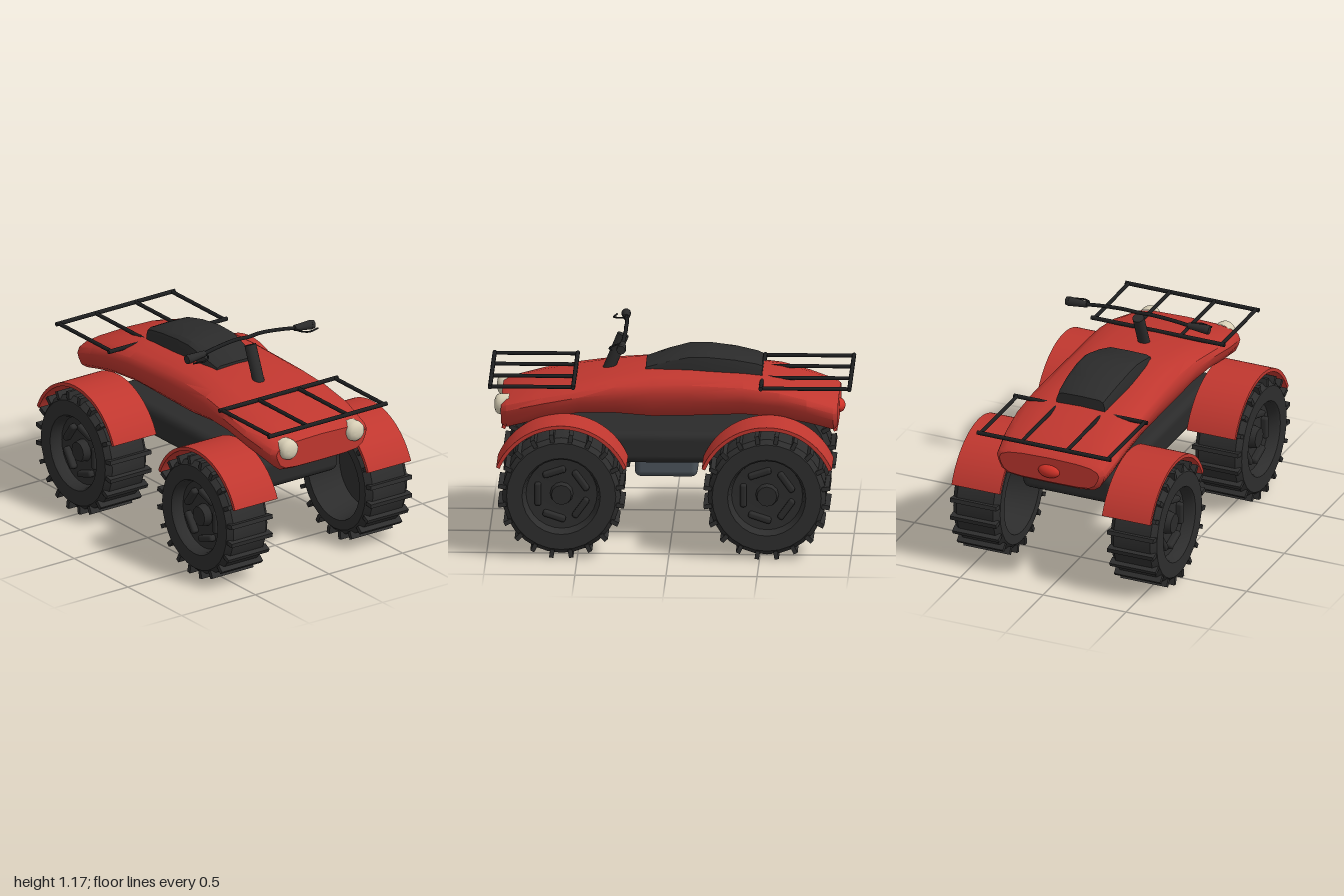
import * as THREE from 'three';
import { toCreasedNormals } from 'three/addons/utils/BufferGeometryUtils.js';
import { RoundedBoxGeometry } from 'three/addons/geometries/RoundedBoxGeometry.js';

const paint = (name, color, side = THREE.FrontSide) => {
  const m = new THREE.MeshStandardMaterial({ color, side });
  m.name = name;
  return m;
};

const mats = {
  red: paint('red bodywork', 0xc0372f),
  black: paint('black plastic', 0x2b2b2b),
  rubber: paint('tyre rubber', 0x2d2d2d, THREE.DoubleSide),
  rack: paint('rack metal', 0x1d1e1f),
  engine: paint('engine grey', 0x4b535a),
  cream: paint('headlight cream', 0xd8cfb6),
  tail: paint('tail light red', 0xd03228),
};

const add = (parent, name, geo, mat, x = 0, y = 0, z = 0) => {
  const m = new THREE.Mesh(geo, mat);
  m.name = name;
  m.position.set(x, y, z);
  parent.add(m);
  return m;
};

// Lofts a half profile (bottom centre to top centre) through stations [z, halfWidth, bottom, top], z rising
function loft(half, stations, crease) {
  const ring = [...half, ...half.slice(1, -1).reverse().map(([u, v]) => [-u, v])];
  const n = ring.length, pos = [], idx = [];
  for (const [z, w, b, t] of stations) for (const [u, v] of ring) pos.push(u * w, b + v * (t - b), z);
  for (let i = 0; i < stations.length - 1; i++) {
    for (let j = 0; j < n; j++) {
      const a = i * n + j, b = i * n + (j + 1) % n;
      idx.push(a, b, a + n, b, b + n, a + n);
    }
  }
  const last = (stations.length - 1) * n;
  for (let j = 1; j < n - 1; j++) idx.push(0, j + 1, j, last, last + j, last + j + 1);
  const g = new THREE.BufferGeometry();
  g.setAttribute('position', new THREE.Float32BufferAttribute(pos, 3));
  g.setIndex(idx);
  return toCreasedNormals(g, crease);
}

// Cylinder between two points
function rod(parent, name, a, b, r0, r1, mat, sides = 10) {
  const p = new THREE.Vector3(...a), q = new THREE.Vector3(...b), d = q.clone().sub(p);
  const m = add(parent, name, new THREE.CylinderGeometry(r1, r0, d.length(), sides), mat);
  m.position.copy(p).add(q).multiplyScalar(0.5);
  m.quaternion.setFromUnitVectors(new THREE.Vector3(0, 1, 0), d.normalize());
  return m;
}

const tube = (pts, r) =>
  new THREE.TubeGeometry(new THREE.CatmullRomCurve3(pts.map(p => new THREE.Vector3(...p))), 20, r, 8);

const lathe = (pts, seg, crease = 0.6) =>
  toCreasedNormals(new THREE.LatheGeometry(pts.map(p => new THREE.Vector2(...p)), seg), crease);

// Wheel with its outer face towards +y, laid over by the caller
function makeWheel() {
  const wheel = new THREE.Group();
  add(wheel, 'tyre', lathe([
    [0, 0.045], [0.2, 0.045], [0.24, -0.14], [0.295, -0.14], [0.325, -0.11], [0.325, 0.11],
    [0.3, 0.14], [0.215, 0.14], [0.205, 0.125], [0.195, 0.075], [0, 0.06],
  ], 28), mats.rubber);
  const lug = new THREE.BoxGeometry(0.045, 0.278, 0.024);
  for (let i = 0; i < 20; i++) {
    const a = (i + 0.5) * Math.PI / 10;
    const m = add(wheel, 'treadLug', lug, mats.rubber, Math.cos(a) * 0.328, 0, Math.sin(a) * 0.328);
    m.rotation.y = -a;
  }
  const bar = new RoundedBoxGeometry(0.036, 0.05, 0.13, 2, 0.014);
  for (let i = 0; i < 5; i++) {
    const a = Math.PI / 2 + i * Math.PI * 0.4;
    const m = add(wheel, 'rimBar', bar, mats.black, Math.cos(a) * 0.13, 0.08, Math.sin(a) * 0.13);
    m.rotation.y = -a;
  }
  add(wheel, 'hub', new THREE.CylinderGeometry(0.055, 0.065, 0.05, 12), mats.black, 0, 0.085, 0);
  return wheel;
}

// Arched mudguard strip
function fenderGeometry() {
  const s = new THREE.Shape();
  const a0 = 0.4, a1 = Math.PI - 0.4;
  s.absarc(0, 0, 0.388, a0, a1, false);
  s.absarc(0, 0, 0.368, a1, a0, true);
  const g = new THREE.ExtrudeGeometry(s, { depth: 0.29, bevelEnabled: false, curveSegments: 24 });
  g.rotateY(Math.PI / 2);
  return toCreasedNormals(g, 0.5);
}

export function createModel() {
  const model = new THREE.Group();
  model.name = 'quadBike';

  // Main body shell
  add(model, 'body', loft(
    [[0, 0], [0.55, 0.01], [0.8, 0.06], [0.91, 0.2], [0.97, 0.42], [1, 0.62], [0.96, 0.78], [0.82, 0.9], [0.55, 0.97], [0, 1]],
    [[-0.92, 0.3, 0.665, 0.81], [-0.895, 0.325, 0.645, 0.828], [-0.75, 0.345, 0.685, 0.878], [-0.6, 0.35, 0.715, 0.92],
      [-0.4, 0.345, 0.73, 0.947], [-0.1, 0.335, 0.715, 0.968], [0.1, 0.332, 0.71, 0.967], [0.3, 0.34, 0.73, 0.948],
      [0.5, 0.355, 0.735, 0.915], [0.7, 0.357, 0.7, 0.878], [0.9, 0.328, 0.645, 0.832], [0.93, 0.305, 0.662, 0.815]],
    0.7), mats.red);

  // Seat cushion
  add(model, 'seat', loft(
    [[0, 0], [1, 0], [1, 0.55], [0.93, 0.85], [0.78, 0.97], [0, 1]],
    [[-0.5, 0.145, 0.9, 0.995], [-0.47, 0.15, 0.9, 1.008], [-0.35, 0.16, 0.9, 1.035], [-0.2, 0.166, 0.9, 1.053],
      [-0.1, 0.164, 0.9, 1.052], [0.02, 0.154, 0.9, 1.02], [0.14, 0.14, 0.9, 0.978]],
    0.6), mats.black);

  // Chassis and engine
  add(model, 'chassis', new RoundedBoxGeometry(0.56, 0.175, 1.4, 2, 0.045), mats.black, 0, 0.543, 0.02);
  add(model, 'engine', new RoundedBoxGeometry(0.27, 0.14, 0.345, 2, 0.035), mats.engine, 0, 0.414, 0.028);

  // Wheels and fenders
  for (const [end, z] of [['front', 0.588], ['rear', -0.54]]) {
    for (const s of [1, -1]) {
      const wheel = makeWheel();
      wheel.name = end + 'Wheel' + (s > 0 ? 'Left' : 'Right');
      wheel.position.set(s * 0.473, 0.352, z);
      wheel.rotation.z = -s * Math.PI / 2;
      model.add(wheel);
      add(model, end + 'Fender', fenderGeometry(), mats.red, s > 0 ? 0.308 : -0.598, 0.358, z);
    }
  }

  // Luggage racks: two cross bars and four rails at each end
  for (const [name, outer, inner] of [['frontRack', 0.986, 0.53], ['rearRack', -0.986, -0.5]]) {
    const rack = new THREE.Group();
    rack.name = name;
    model.add(rack);
    for (const z of [outer, inner]) rod(rack, 'crossBar', [-0.402, 0.914, z], [0.402, 0.914, z], 0.012, 0.012, mats.rack);
    for (const x of [-0.383, -0.135, 0.135, 0.383]) rod(rack, 'rail', [x, 0.914, outer], [x, 0.914, inner], 0.011, 0.011, mats.rack);
  }

  // Steering: column, curved bar, flared grips and brake levers
  const steering = new THREE.Group();
  steering.name = 'steering';
  model.add(steering);
  rod(steering, 'column', [0, 0.92, 0.35], [0, 1.12, 0.268], 0.033, 0.033, mats.black, 16);
  add(steering, 'handlebar', tube([[-0.33, 1.137, 0.262], [-0.2, 1.155, 0.255], [-0.08, 1.164, 0.25], [0, 1.16, 0.252],
    [0.08, 1.164, 0.25], [0.2, 1.155, 0.255], [0.33, 1.137, 0.262]], 0.011), mats.rack);
  for (const s of [1, -1]) {
    rod(steering, 'grip', [s * 0.305, 1.14, 0.261], [s * 0.41, 1.136, 0.265], 0.017, 0.026, mats.black, 12);
    rod(steering, 'gripEnd', [s * 0.41, 1.136, 0.265], [s * 0.43, 1.135, 0.266], 0.027, 0.024, mats.black, 12);
    add(steering, 'brakeLever', tube([[s * 0.3, 1.14, 0.262], [s * 0.31, 1.135, 0.3], [s * 0.35, 1.13, 0.33],
      [s * 0.425, 1.128, 0.315]], 0.005), mats.rack);
  }

  // Lights
  for (const s of [1, -1]) {
    add(model, 'headlight', lathe([[0.056, -0.04], [0.058, 0.005], [0.054, 0.022], [0.044, 0.034], [0.024, 0.041], [0, 0.043]], 24),
      mats.cream, s * 0.225, 0.777, 0.925).rotation.x = Math.PI / 2;
  }
  const tail = add(model, 'tailLight', new THREE.SphereGeometry(1, 24, 14), mats.tail, 0, 0.73, -0.918);
  tail.scale.set(0.065, 0.038, 0.034);

  return model;
}
